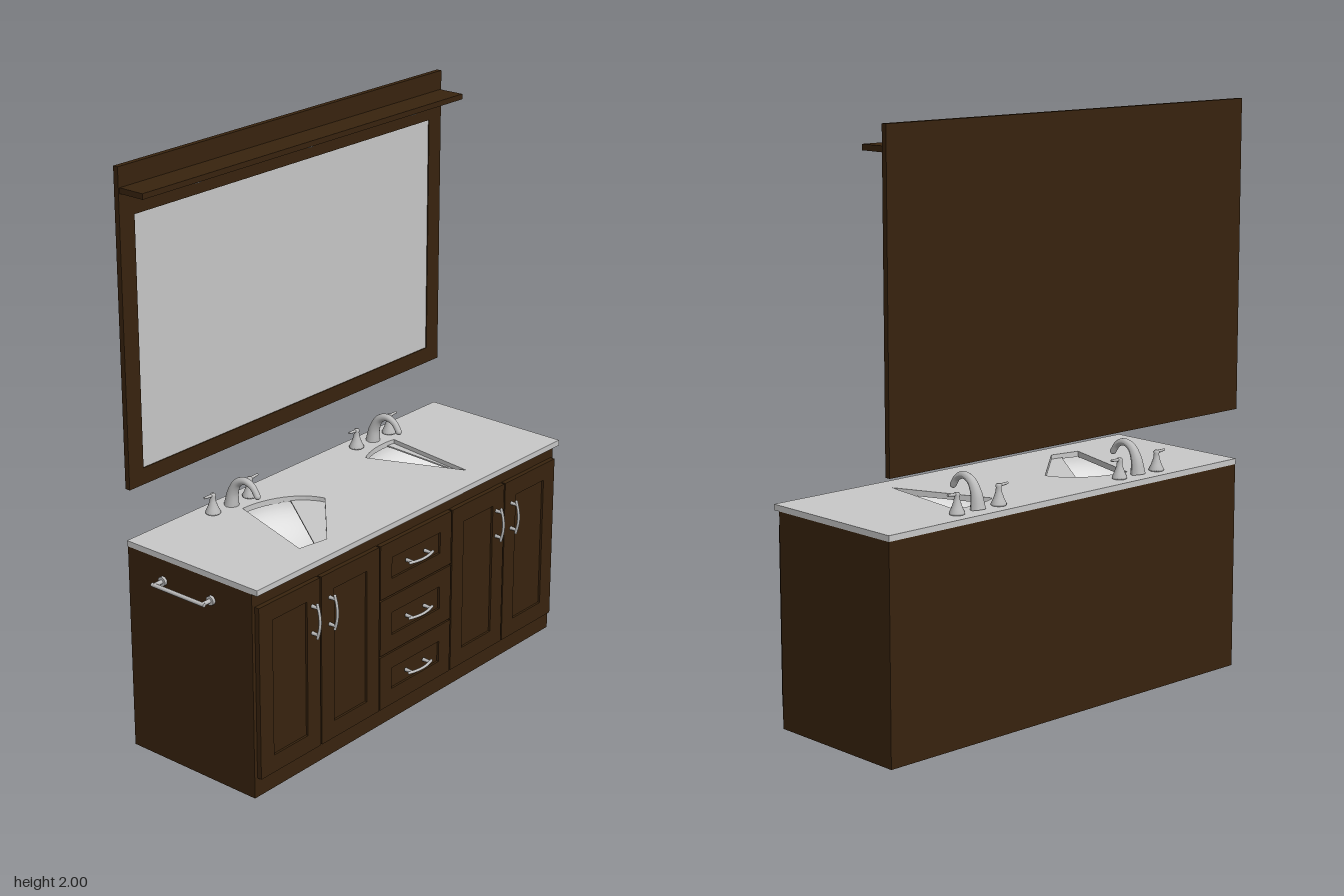
import * as THREE from 'three';

const mat = (name, color, side = THREE.FrontSide) => {
  const m = new THREE.MeshStandardMaterial({ color, side });
  m.name = name;
  return m;
};

export function createModel() {
  const root = new THREE.Group();
  root.name = 'doubleVanity';
  const wood = mat('darkWood', 0x38230e);
  const stone = mat('stone', 0xc8c8c8);
  const glass = mat('mirrorGlass', 0xc8c8c8);
  const metal = mat('brushedMetal', 0xbcbcbc);
  const ceramic = mat('ceramic', 0xdedede, THREE.DoubleSide);

  const add = (parent, name, geo, material, x = 0, y = 0, z = 0) => {
    const m = new THREE.Mesh(geo, material);
    m.name = name;
    m.position.set(x, y, z);
    parent.add(m);
    return m;
  };
  const group = (parent, name, x, y, z) => {
    const g = new THREE.Group();
    g.name = name;
    g.position.set(x, y, z);
    parent.add(g);
    return g;
  };
  // Box given by its minimum and maximum corners
  const box = (parent, name, material, x0, x1, y0, y1, z0, z1) =>
    add(parent, name, new THREE.BoxGeometry(x1 - x0, y1 - y0, z1 - z0), material,
      (x0 + x1) / 2, (y0 + y1) / 2, (z0 + z1) / 2);
  const rect = (x0, x1, y0, y1) => [[x0, y0], [x1, y0], [x1, y1], [x0, y1]].map(p => new THREE.Vector2(...p));
  // Flat plate with holes, thick along +z
  const plate = (outer, holes, depth) => {
    const s = new THREE.Shape(outer);
    holes.forEach(h => s.holes.push(new THREE.Path(h)));
    return new THREE.ExtrudeGeometry(s, { depth, bevelEnabled: false });
  };
  const curve = pts => new THREE.CatmullRomCurve3(pts.map(p => new THREE.Vector3(...p)));

  const X0 = -0.77, X1 = 0.815, BACK = -0.297, FRONT = 0.245;

  // Cabinet: open-topped case with a floor
  const cabinet = group(root, 'cabinet', 0, 0, 0);
  const walls = plate(rect(X0, X1, -FRONT, -BACK), [rect(X0 + 0.02, X1 - 0.02, -FRONT + 0.02, -BACK - 0.02)], 0.73);
  add(cabinet, 'caseWalls', walls.rotateX(-Math.PI / 2), wood);
  box(cabinet, 'caseFloor', wood, X0 + 0.02, X1 - 0.02, 0, 0.02, BACK + 0.02, FRONT - 0.02);

  // Framed fronts with a recessed centre panel
  const framedFront = (name, x0, x1, y0, y1, inset) => {
    const g = group(cabinet, name, 0, 0, 0);
    const hole = rect(x0 + inset, x1 - inset, y0 + inset, y1 - inset);
    add(g, 'frontFrame', plate(rect(x0, x1, y0, y1), [hole], 0.017), wood, 0, 0, FRONT);
    box(g, 'frontPanel', wood, x0 + inset, x1 - inset, y0 + inset, y1 - inset, FRONT, FRONT + 0.009);
  };
  // Pull handle: bowed bar on two posts, along local x, projecting to +z
  const pull = (name, x, y, vertical) => {
    const g = group(cabinet, name, x, y, FRONT + 0.015);
    if (vertical) g.rotation.z = Math.PI / 2;
    const bar = curve([[-0.06, 0, 0.024], [-0.03, 0, 0.032], [0, 0, 0.035], [0.03, 0, 0.032], [0.06, 0, 0.024]]);
    add(g, 'pullBar', new THREE.TubeGeometry(bar, 16, 0.005, 8), metal);
    for (const s of [-1, 1]) {
      add(g, 'pullPost', new THREE.CylinderGeometry(0.005, 0.007, 0.03, 10).rotateX(Math.PI / 2), metal, s * 0.048, 0, 0.013);
      add(g, 'pullEnd', new THREE.SphereGeometry(0.005, 8, 6), metal, s * 0.06, 0, 0.024);
    }
  };
  for (const [x0, x1, handleX] of [[-0.757, -0.467, -0.505], [-0.461, -0.17, -0.42], [0.218, 0.508, 0.465], [0.514, 0.804, 0.552]]) {
    framedFront('door', x0, x1, 0.07, 0.68, 0.063);
    pull('doorPull', handleX, 0.545, true);
  }
  for (const [y0, y1] of [[0.07, 0.268], [0.274, 0.477], [0.483, 0.68]]) {
    framedFront('drawer', -0.164, 0.212, y0, y1, 0.06);
    pull('drawerPull', 0.024, (y0 + y1) / 2, false);
  }

  // Towel bar on the right end
  const towel = group(root, 'towelBar', X0, 0.655, -0.033);
  add(towel, 'bar', new THREE.CylinderGeometry(0.007, 0.007, 0.23, 12).rotateX(Math.PI / 2), metal, -0.043, 0, 0);
  for (const s of [-1, 1]) {
    add(towel, 'post', new THREE.CylinderGeometry(0.007, 0.007, 0.045, 12).rotateZ(Math.PI / 2), metal, -0.0225, 0, s * 0.106);
    add(towel, 'flange', new THREE.CylinderGeometry(0.016, 0.016, 0.01, 16).rotateZ(Math.PI / 2), metal, -0.005, 0, s * 0.106);
  }

  // Countertop: two layers with wedge-shaped basin cut-outs
  const LEFT = 0.39, RIGHT = -0.345, RX = 0.245, RZ = 0.185;
  const wedge = (cx, from, to, ...corners) => {
    const angles = [];
    for (let i = 0; i <= 12; i++) angles.push(from + (to - from) * i / 12);
    return angles.concat(corners).map(a => {
      const t = THREE.MathUtils.degToRad(a);
      return new THREE.Vector2(cx + RX * Math.cos(t), RZ * Math.sin(t));
    });
  };
  const slab = (name, y, h, holes) =>
    add(root, name, plate(rect(X0 - 0.002, X1 + 0.001, -0.27, 0.298), holes, h).rotateX(-Math.PI / 2), stone, 0, y, 0);
  slab('countertop', 0.735, 0.015, [wedge(RIGHT, 90, 10, -90, -117), wedge(LEFT, 125, 78, -90)]);
  slab('countertopUnderside', 0.73, 0.005, [wedge(RIGHT, 90, 44, -101, -117), wedge(LEFT, 125, 85, -90)]);

  // Tapered tube for the spout
  const taperedTube = (path, segs, r0, r1) => {
    const g = new THREE.TubeGeometry(path, segs, 1, 14);
    const p = g.attributes.position, v = new THREE.Vector3();
    for (let i = 0; i < p.count; i++) {
      const t = Math.floor(i / 15) / segs, c = path.getPointAt(t);
      v.fromBufferAttribute(p, i).sub(c).multiplyScalar(r1 + (r0 - r1) * (1 - t) ** 2).add(c);
      p.setXYZ(i, v.x, v.y, v.z);
    }
    g.computeVertexNormals();
    return g;
  };
  const bowlProfile = [];
  for (let i = 0; i <= 14; i++) {
    const t = i / 14 * Math.PI / 2;
    bowlProfile.push(new THREE.Vector2(Math.sin(t), -Math.cos(t)));
  }
  const valveProfile = [[0, 0], [0.026, 0], [0.026, 0.006], [0.019, 0.02], [0.011, 0.042], [0.009, 0.058], [0.011, 0.064], [0.008, 0.07], [0, 0.071]]
    .map(p => new THREE.Vector2(...p));

  for (const cx of [RIGHT, LEFT]) {
    // Basin and drain
    const basin = group(root, 'basin', cx, 0.7305, 0);
    add(basin, 'bowl', new THREE.LatheGeometry(bowlProfile, 40), ceramic).scale.set(0.25, 0.125, 0.19);
    add(basin, 'drain', new THREE.SphereGeometry(0.026, 20, 10).scale(1, 0.3, 1), ceramic, 0, -0.122, 0);

    // Faucet: arched spout and two lever valves
    const faucet = group(root, 'faucet', cx, 0.75, -0.235);
    const path = curve([[0, 0, 0], [0, 0.05, 0.008], [0, 0.088, 0.03], [0, 0.102, 0.065], [0, 0.09, 0.097], [0, 0.062, 0.118]]);
    add(faucet, 'spout', taperedTube(path, 28, 0.026, 0.011), metal);
    add(faucet, 'spoutTip', new THREE.SphereGeometry(0.011, 14, 10), metal, 0, 0.062, 0.118);
    for (const s of [-1, 1]) {
      const valve = group(faucet, 'valve', s * 0.09, 0, 0);
      add(valve, 'valveBody', new THREE.LatheGeometry(valveProfile, 20), metal);
      const lever = add(valve, 'valveLever', new THREE.CylinderGeometry(0.004, 0.006, 0.045, 10), metal, s * 0.017, 0.065, 0);
      lever.rotation.z = -s * 1.5;
    }
  }

  // Wall mirror: frame, glass, back panel, shelf and lights
  const mirror = group(root, 'mirror', 0, 0, 0);
  const opening = rect(-0.70, 0.75, 0.985, 1.835);
  add(mirror, 'mirrorFrame', plate(rect(-0.765, 0.815, 0.928, 2), [opening], 0.014), wood, 0, 0, -0.298);
  box(mirror, 'mirrorBack', wood, -0.765, 0.815, 0.928, 2, -0.303, -0.298);
  box(mirror, 'mirrorPane', glass, -0.70, 0.75, 0.985, 1.835, -0.298, -0.288);
  box(mirror, 'shelf', wood, -0.76, 0.81, 1.914, 1.933, -0.284, -0.186);
  for (const x of [-0.505, 0.025, 0.555])
    add(mirror, 'shelfLight', new THREE.CylinderGeometry(0.04, 0.04, 0.006, 24), metal, x, 1.911, -0.235);

  return root;
}
